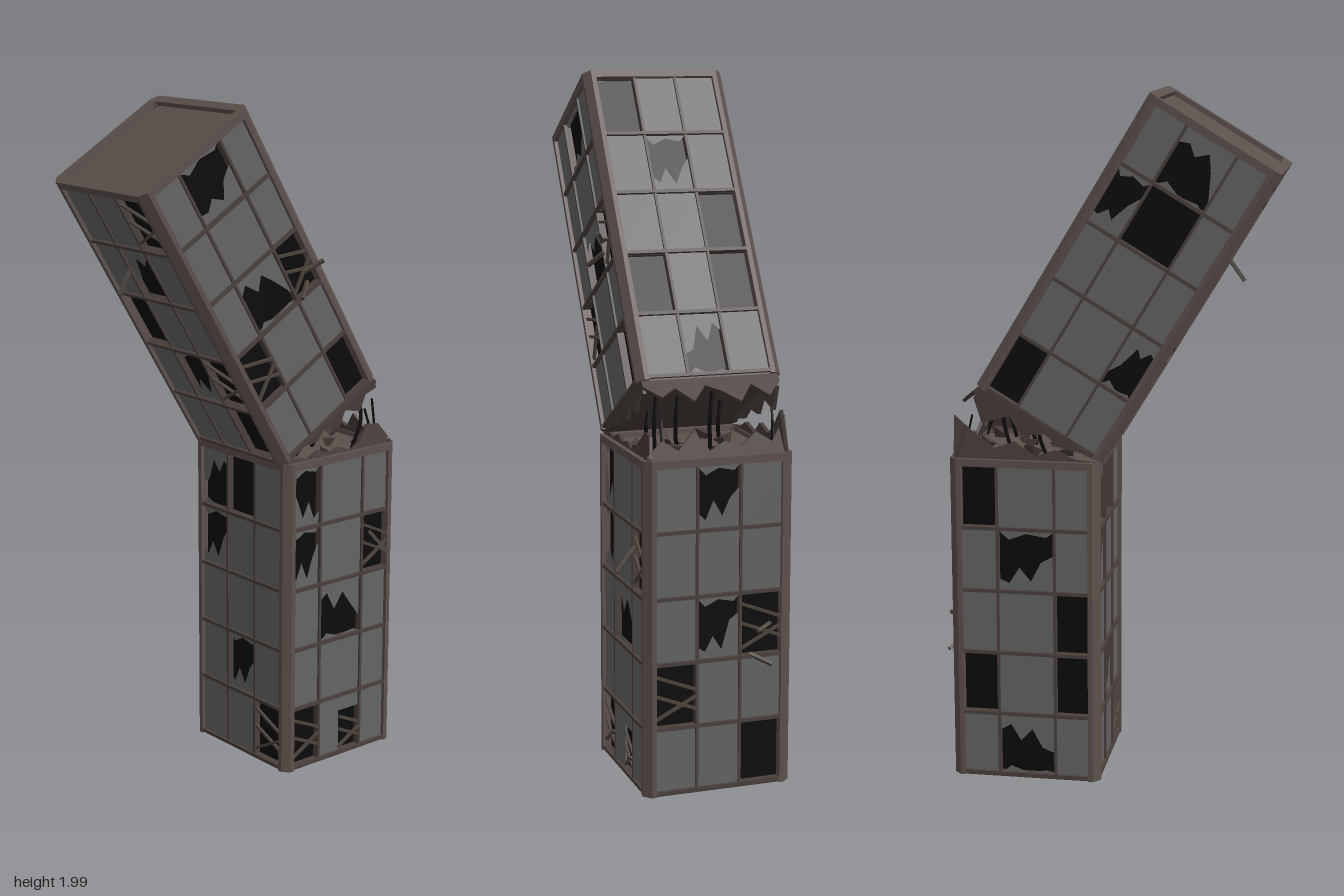
import * as THREE from 'three';

const mat = (color, side = THREE.FrontSide) => new THREE.MeshStandardMaterial({ color, side, flatShading: true });
const concrete = mat(0x5c504c, THREE.DoubleSide);
const trim = mat(0x4a403c);
const rubble = mat(0x463b38, THREE.DoubleSide);
const glass = mat(0x646464, THREE.DoubleSide);
const dark = mat(0x0b0b0b);
const wood = mat(0x4d453d);

let seed = 7;
const rnd = () => (seed = (seed * 16807) % 2147483647) / 2147483647;

function add(parent, name, geo, material, x = 0, y = 0, z = 0) {
  const m = new THREE.Mesh(geo, material);
  m.name = name;
  m.position.set(x, y, z);
  parent.add(m);
  return m;
}
const box = (parent, name, w, h, d, material, x, y, z) =>
  add(parent, name, new THREE.BoxGeometry(w, h, d), material, x, y, z);
const polygon = pts => new THREE.Shape(pts.map(p => new THREE.Vector2(p[0], p[1])));
const extrude = (shape, depth) => new THREE.ExtrudeGeometry(shape, { depth, bevelEnabled: false });

// Thin stick between two points
function stick(parent, name, a, b, r, material) {
  const va = new THREE.Vector3(...a), vb = new THREE.Vector3(...b);
  const m = box(parent, name, r * 2, va.distanceTo(vb), r * 2, material, 0, 0, 0);
  m.position.copy(va).add(vb).multiplyScalar(0.5);
  m.quaternion.setFromUnitVectors(new THREE.Vector3(0, 1, 0), vb.sub(va).normalize());
}

// Crossed boards nailed over an opening
function boards(g, x, y, w, h, z) {
  for (const [s, e] of [[0.15, 0.5], [0.55, 0.3], [0.85, 0.6]])
    stick(g, 'board', [x + 0.003, y + h * s, z], [x + w - 0.003, y + h * e, z + 0.006], 0.004, wood);
}

// Remaining glass of a smashed window
function brokenPane(g, x, y, w, h, z) {
  const flip = rnd() > 0.5, up = rnd() > 0.3;
  const edge = [[1, 0.3], [0.8, 0.18], [0.62, 0.42], [0.42, 0.2], [0.24, 0.55], [0, 0.75]];
  const pts = [[0, 0], [1, 0], ...edge.map(([u, v]) => [u, v * (0.75 + 0.4 * rnd())])];
  const lower = polygon(pts.map(([u, v]) => [x + w * (flip ? 1 - u : u), y + h * (up ? v : 1 - v)]));
  add(g, 'brokenPane', new THREE.ShapeGeometry(lower), glass, 0, 0, z);
  const t = up ? y + h : y, s = up ? -1 : 1;
  const tip = polygon([[x, t], [x + w, t], [x + w * 0.85, t + s * h * 0.1], [x + w * 0.5, t + s * h * 0.05], [x + w * 0.2, t + s * h * 0.15]]);
  add(g, 'glassShard', new THREE.ShapeGeometry(tip), glass, 0, 0, z);
}

// One facade: rows from the top, '.' pane, '#' missing, 'j' smashed, 'x' boarded, 'h' half boarded
function facade(parent, rows, half, H, y0, cols, angle) {
  const g = new THREE.Group();
  g.name = 'facade';
  g.rotation.y = angle;
  parent.add(g);
  const fh = (H - y0) / rows.length, zg = half - 0.014;
  rows.forEach((row, i) => {
    const y = H - (i + 1) * fh;
    [...row].forEach((c, k) => {
      const x = cols[k], w = cols[k + 1] - x;
      if (c === '.') box(g, 'windowPane', w, fh, 0.006, glass, x + w / 2, y + fh / 2, zg);
      if (c === 'j') brokenPane(g, x, y, w, fh, zg);
      if (c === 'x') boards(g, x, y, w, fh, half - 0.012);
      if (c === 'h') {
        box(g, 'windowPane', w / 2, fh, 0.006, glass, x + w / 4, y + fh / 2, zg);
        boards(g, x + w / 2, y, w / 2, fh * 0.75, half - 0.012);
        box(g, 'windowPane', w / 2, fh * 0.25, 0.006, glass, x + w * 0.75, y + fh * 0.87, zg);
      }
    });
    box(g, 'floorBand', half * 2 - 0.04, 0.01, 0.025, trim, 0, y + 0.005, half - 0.0145);
  });
  for (const x of cols.slice(1, -1))
    box(g, 'mullion', 0.008, H - y0, 0.022, trim, x, (H + y0) / 2, half - 0.016);
}

// Chamfered square outline
function chamfered(h, c) {
  return [[h - c, -h], [h, c - h], [h, h - c], [h - c, h], [c - h, h], [-h, h - c], [-h, c - h], [c - h, -h]];
}

function rim(parent, name, half, inner, y, t, material) {
  const s = polygon(chamfered(half, 0.02));
  if (inner) s.holes.push(new THREE.Path(polygon([[-inner, -inner], [-inner, inner], [inner, inner], [inner, -inner]]).getPoints()));
  add(parent, name, extrude(s, t), material, 0, y, 0).rotation.x = -Math.PI / 2;
}

function towerBlock(name, half, H, walls) {
  const g = new THREE.Group();
  g.name = name;
  const core = half - 0.026;
  box(g, 'darkInterior', core * 2, H - 0.03, core * 2, dark, 0, H / 2, 0);
  // Corner posts
  const e = half - 0.026;
  const post = polygon([[e - 0.008, e - 0.008], [half, e - 0.008], [half, half - 0.02], [half - 0.02, half], [e - 0.008, half]]);
  for (let i = 0; i < 4; i++) {
    const p = new THREE.Group();
    p.name = 'cornerPost';
    p.rotation.y = i * Math.PI / 2;
    add(p, 'post', extrude(post, H - 0.004), concrete, 0, 0.002, 0).rotation.x = -Math.PI / 2;
    g.add(p);
  }
  const wide = [-e, -e * 0.42, e * 0.45, e], even = [-e, -e / 3, e / 3, e];
  walls.forEach((rows, i) => facade(g, rows, half, H - 0.022, 0.006, i % 2 ? even : wide, i * Math.PI / 2));
  rim(g, 'topRim', half, half - 0.028, H - 0.022, 0.022, concrete);
  rim(g, 'topSlab', half - 0.025, 0, H - 0.024, 0.01, concrete);
  rim(g, 'baseSlab', half - 0.01, 0, 0, 0.012, rubble);
  return g;
}

// Jagged strip of torn wall; negative heights hang down
function tornWall(parent, half, y, angle, heights, tilt = 0) {
  const n = heights.length - 1, w = half - 0.012;
  const pts = [[-w, 0], ...heights.map((h, i) => [-w + 2 * w * i / n, h]), [w, 0]];
  const g = new THREE.Group();
  g.name = 'tornWall';
  g.rotation.y = angle;
  add(g, 'tornEdge', extrude(polygon(pts), 0.01), rubble, 0, y, half - 0.022).rotation.x = tilt;
  parent.add(g);
}

export function createModel() {
  const root = new THREE.Group();
  root.name = 'brokenTower';

  // Standing lower half: front, +x side, back, -x side
  const lower = towerBlock('lowerTower', 0.2175, 0.96, [
    ['j..', 'j.x', '.j.', '...', 'xh.'],
    ['.j.', '...', '.jx', 'x..', '..#'],
    ['#..', '.j.', '..#', '#.#', '.j.'],
    ['j#.', 'j..', '...', '.j.', '..x'],
  ]);
  lower.position.set(0.234, 0, -0.028);
  root.add(lower);

  // Snapped upper half leaning to one side
  const upper = towerBlock('upperTower', 0.211, 0.957, [
    ['.j.', '...', '.jx', 'x..', '..#'],
    ['#..', '.j.', '..#', '#.#', '.j.'],
    ['.j.', 'j#.', '...', '..j', '#..'],
    ['..x', '.j.', '#..', '.jx', '..#'],
  ]);
  upper.position.set(0.191, 1.063, -0.028);
  upper.rotation.z = THREE.MathUtils.degToRad(31);
  root.add(upper);

  // Torn edges of the break
  const q = Math.PI / 2;
  tornWall(lower, 0.2175, 0.95, 0, [0.01, 0.02, 0.012, 0.03, 0.015, 0.025, 0.01, 0.03, 0.075, 0.07, 0.015], -0.25);
  tornWall(lower, 0.2175, 0.95, q, [0.02, 0.06, 0.03, 0.08, 0.025, 0.05, 0.03, 0.07, 0.04, 0.11], -0.3);
  tornWall(lower, 0.2175, 0.95, 2 * q, [0.13, 0.08, 0.04, 0.06, 0.02, 0.04, 0.015, 0.01], -0.15);
  tornWall(upper, 0.211, 0.005, 0, [-0.005, -0.012, -0.01, -0.03, -0.015, -0.05, -0.02, -0.06, -0.03, -0.04]);
  tornWall(upper, 0.211, 0.005, q, [-0.03, -0.07, -0.04, -0.09, -0.035, -0.06, -0.1, -0.04, -0.085, -0.03], -0.35);
  tornWall(upper, 0.211, 0.005, 2 * q, [-0.04, -0.09, -0.03, -0.06, -0.02, -0.03, -0.01, -0.005]);

  // Rubble lumps on the broken floor
  for (let i = 0; i < 9; i++) {
    const m = add(root, 'rubble', new THREE.TetrahedronGeometry(0.02 + 0.018 * rnd()), rubble,
      0.12 + 0.28 * rnd(), 0.96, -0.2 + 0.34 * rnd());
    m.rotation.set(rnd() * 3, rnd() * 3, rnd() * 3);
  }

  // Bent reinforcing bars across the gap
  for (const [x, z, top] of [[0.14, 0.08, 1.04], [0.19, -0.12, 1.07], [0.25, 0.03, 1.1], [0.31, -0.05, 1.12], [0.33, 0.12, 1.13]]) {
    const c = new THREE.CatmullRomCurve3([
      new THREE.Vector3(x, 0.945, z), new THREE.Vector3(x + 0.025, (0.945 + top) / 2, z + 0.012), new THREE.Vector3(x + 0.012, top, z)]);
    add(root, 'reinforcingBar', new THREE.TubeGeometry(c, 8, 0.006, 5), dark);
  }
  // Loose wire spikes at the open corner
  for (const [dx, h, z] of [[-0.02, 0.14, 0.13], [-0.04, 0.11, 0.12], [0, 0.1, -0.19], [-0.03, 0.13, -0.2]])
    stick(root, 'wireSpike', [0.42, 0.95, z], [0.42 + dx, 0.95 + h, z], 0.0025, dark);

  // Loose boards sticking out of the windows
  for (const [a, b] of [
    [[0.345, 0.7, 0.185], [0.372, 0.64, 0.245]],
    [[0.04, 1.45, 0.222], [0.085, 1.49, 0.19]],
    [[0.075, 1.52, 0.19], [0.122, 1.55, 0.218]],
    [[0.445, 0.475, -0.18], [0.48, 0.465, -0.13]],
    [[0.44, 0.39, -0.12], [0.478, 0.365, -0.175]],
    [[-0.32, 1.54, -0.09], [-0.372, 1.465, -0.08]],
  ]) stick(root, 'looseBoard', a, b, 0.005, wood);

  return root;
}
